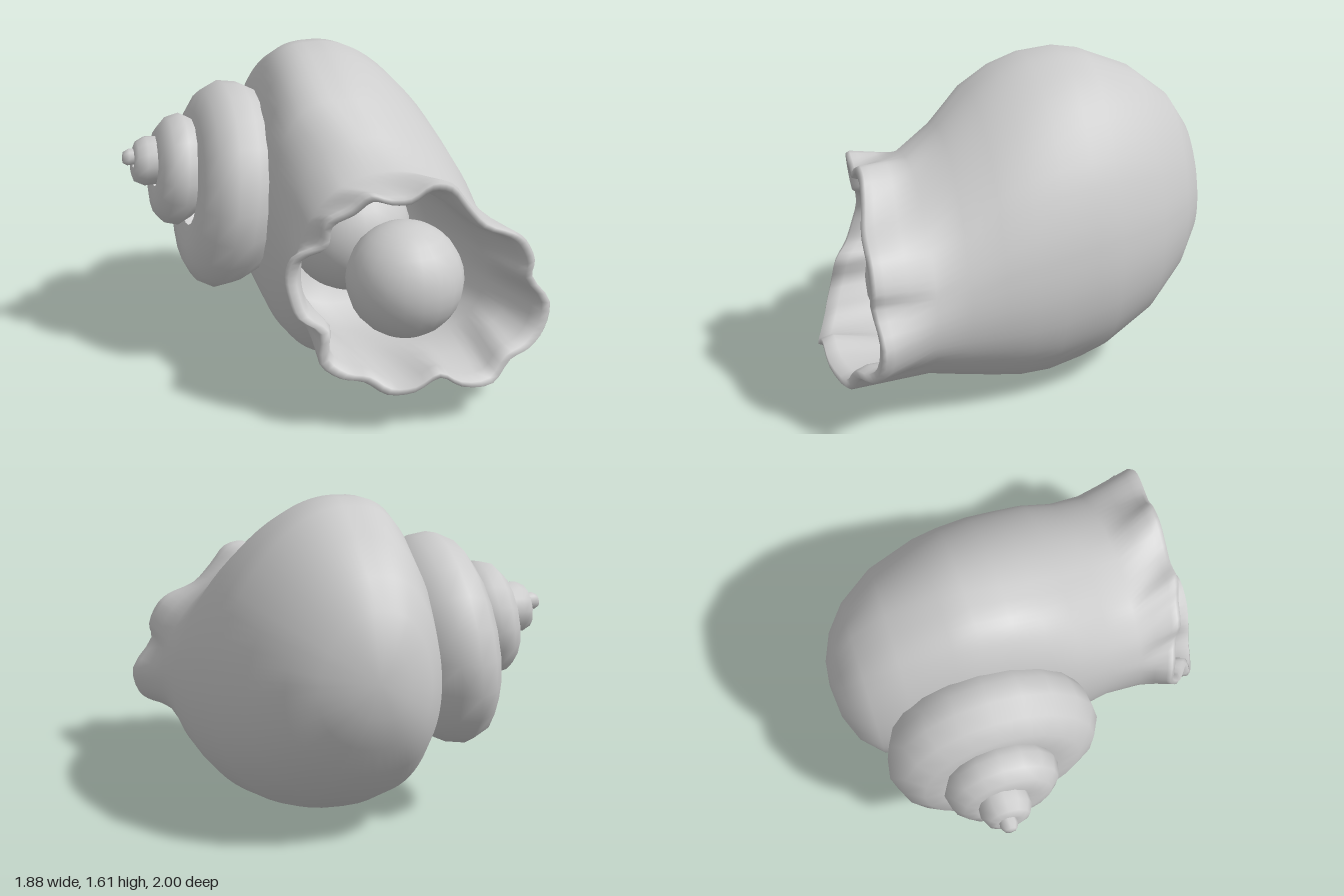
import * as THREE from 'three';
import { mergeVertices } from 'three/addons/utils/BufferGeometryUtils.js';

// Skin a list of closed rings (arrays of Vector3 of equal length)
function loft(rings) {
  const n = rings[0].length, pos = [], idx = [];
  for (const ring of rings) for (const p of ring) pos.push(p.x, p.y, p.z);
  for (let r = 0; r < rings.length - 1; r++) {
    for (let i = 0; i < n; i++) {
      const a = r * n + i, b = r * n + (i + 1) % n;
      idx.push(a, b, a + n, b, b + n, a + n);
    }
  }
  let g = new THREE.BufferGeometry();
  g.setAttribute('position', new THREE.Float32BufferAttribute(pos, 3));
  g.setIndex(idx);
  g = mergeVertices(g, 1e-5);
  g.computeVertexNormals();
  return g;
}

// Ruffled outline of the mouth: x, y, z
const RIM = [
  [0.93, 0.52, 0.81], [0.82, 0.68, 0.83], [0.83, 0.76, 0.83], [0.78, 0.87, 0.83], [0.72, 0.92, 0.83],
  [0.58, 0.98, 0.82], [0.49, 1.08, 0.8], [0.41, 1.18, 0.79], [0.31, 1.2, 0.79], [0.2, 1.14, 0.79],
  [0.1, 1.14, 0.78], [0, 1.17, 0.78], [-0.09, 1.1, 0.76], [-0.2, 1.04, 0.74], [-0.22, 0.92, 0.72],
  [-0.34, 0.85, 0.68], [-0.37, 0.75, 0.67], [-0.36, 0.65, 0.7], [-0.33, 0.56, 0.74], [-0.24, 0.5, 0.81],
  [-0.25, 0.36, 0.84], [-0.16, 0.29, 0.88], [-0.05, 0.27, 0.91], [0.05, 0.21, 0.95], [0.17, 0.22, 0.98],
  [0.3, 0.28, 0.98], [0.42, 0.21, 0.97], [0.6, 0.18, 0.92], [0.7, 0.28, 0.89], [0.82, 0.31, 0.85], [0.9, 0.38, 0.82],
];
const MOUTH = new THREE.Vector3(0.27, 0.68, 0.8);

function bodyGeometry() {
  const curve = new THREE.CatmullRomCurve3(RIM.map(p => new THREE.Vector3(...p)), true);
  const rim = [];
  for (let i = 0; i < 93; i++) rim.push(curve.getPoint(i / 93));
  const angles = rim.map(p => Math.atan2(p.y - MOUTH.y, p.x - MOUTH.x));

  // Cross-section, fuller low down, with a flatter left side where the spire sits
  const ring = (z, y0, y1, xl, cx, xr, shear = 0) => angles.map(a => {
    const c = Math.cos(a), s = Math.sin(a), e = z < 0.3 ? 0.65 : 0.85;
    const x = c > 0
      ? cx + (xr - cx) * c * (1 - 0.16 * s)
      : cx + (xl - cx) * Math.pow(-c, e) * (1 - 0.1 * s);
    return new THREE.Vector3(x - shear * s, (y0 + y1) / 2 + (y1 - y0) / 2 * s, z);
  });
  const blend = (from, t) => from.map((p, i) => p.clone().lerp(rim[i], t));
  const lip = (k, dz) => rim.map(p => new THREE.Vector3(
    MOUTH.x + (p.x - MOUTH.x) * k, MOUTH.y + (p.y - MOUTH.y) * k, p.z + dz));

  const neck = ring(0.54, 0.15, 1.175, -0.29, 0.24, 0.8, 0.06);
  const throat = ring(0.45, 0.22, 1.08, -0.23, 0.24, 0.72, 0.05);
  const inner = lip(0.88, -0.04);
  return loft([
    // outside, back to front
    ring(-1, 0.9, 0.9, 0.07, 0.07, 0.07),
    ring(-0.985, 0.72, 1.06, -0.08, 0.07, 0.2),
    ring(-0.93, 0.56, 1.21, -0.2, 0.07, 0.34),
    ring(-0.83, 0.4, 1.36, -0.28, 0.08, 0.47),
    ring(-0.65, 0.22, 1.5, -0.33, 0.09, 0.61, 0.01),
    ring(-0.4, 0.08, 1.6, -0.35, 0.1, 0.71, 0.03),
    ring(-0.27, 0.04, 1.62, -0.35, 0.1, 0.74, 0.04),
    ring(-0.1, 0.005, 1.6, -0.35, 0.1, 0.77, 0.05),
    ring(0.05, 0.01, 1.545, -0.34, 0.11, 0.78, 0.06),
    ring(0.2, 0.05, 1.45, -0.32, 0.14, 0.79, 0.07),
    ring(0.37, 0.1, 1.3, -0.29, 0.2, 0.78, 0.07),
    neck, blend(neck, 0.45), blend(neck, 0.85), rim,
    // rolled lip and inside wall
    lip(0.98, 0.02), lip(0.92, 0.02), inner,
    throat.map((p, i) => p.clone().lerp(inner[i], 0.5)),
    throat,
    ring(0.2, 0.2, 1.1, -0.22, 0.22, 0.68, 0.04),
    ring(-0.05, 0.25, 1.05, -0.2, 0.2, 0.6),
    ring(-0.2, 0.65, 0.65, 0.2, 0.2, 0.2),
  ]);
}

// Whorl of the spire: profile of [offset along x, radius], leaning so its top is nearer the body
function whorlGeometry(profile, sides) {
  return loft(profile.map(([dx, r]) => {
    const ring = [];
    for (let i = 0; i < sides; i++) {
      const a = 2 * Math.PI * i / sides;
      const y = r * Math.cos(a);
      ring.push(new THREE.Vector3(dx + 0.11 * y, y, r * Math.sin(a)));
    }
    return ring;
  }));
}

const WHORLS = [
  { sides: 20, at: [-0.46, 0.89, -0.305],
    profile: [[-0.16, 0.2], [-0.175, 0.3], [-0.165, 0.4], [-0.11, 0.49], [-0.02, 0.535], [0.08, 0.52], [0.2, 0.46], [0.35, 0.25]] },
  { sides: 16, at: [-0.7, 0.985, -0.325],
    profile: [[-0.09, 0.08], [-0.1, 0.16], [-0.085, 0.22], [-0.04, 0.27], [0.03, 0.288], [0.1, 0.25], [0.16, 0.2]] },
  { sides: 12, at: [-0.85, 1.035, -0.35],
    profile: [[-0.045, 0.03], [-0.05, 0.07], [-0.035, 0.105], [0.01, 0.128], [0.08, 0.125]] },
  { sides: 8, at: [-0.92, 1.06, -0.36],
    profile: [[-0.03, 0], [-0.025, 0.03], [0, 0.045], [0.06, 0.04]] },
];

export function createModel() {
  const group = new THREE.Group();
  const shell = new THREE.MeshStandardMaterial({ color: 0xcccccc, side: THREE.DoubleSide });
  shell.name = 'shell grey';
  const add = (name, geometry, x = 0, y = 0, z = 0) => {
    const mesh = new THREE.Mesh(geometry, shell);
    mesh.name = name;
    mesh.position.set(x, y, z);
    group.add(mesh);
  };
  add('shellBody', bodyGeometry());
  WHORLS.forEach((w, i) => add('spireWhorl' + (i + 1), whorlGeometry(w.profile, w.sides), ...w.at));
  // Rounded inner whorl seen through the mouth, and the pearl in front of it
  add('innerWhorl', new THREE.SphereGeometry(0.32, 24, 16), 0.15, 0.69, 0);
  add('pearl', new THREE.SphereGeometry(0.295, 20, 14), 0.295, 0.585, 0.48);
  return group;
}
